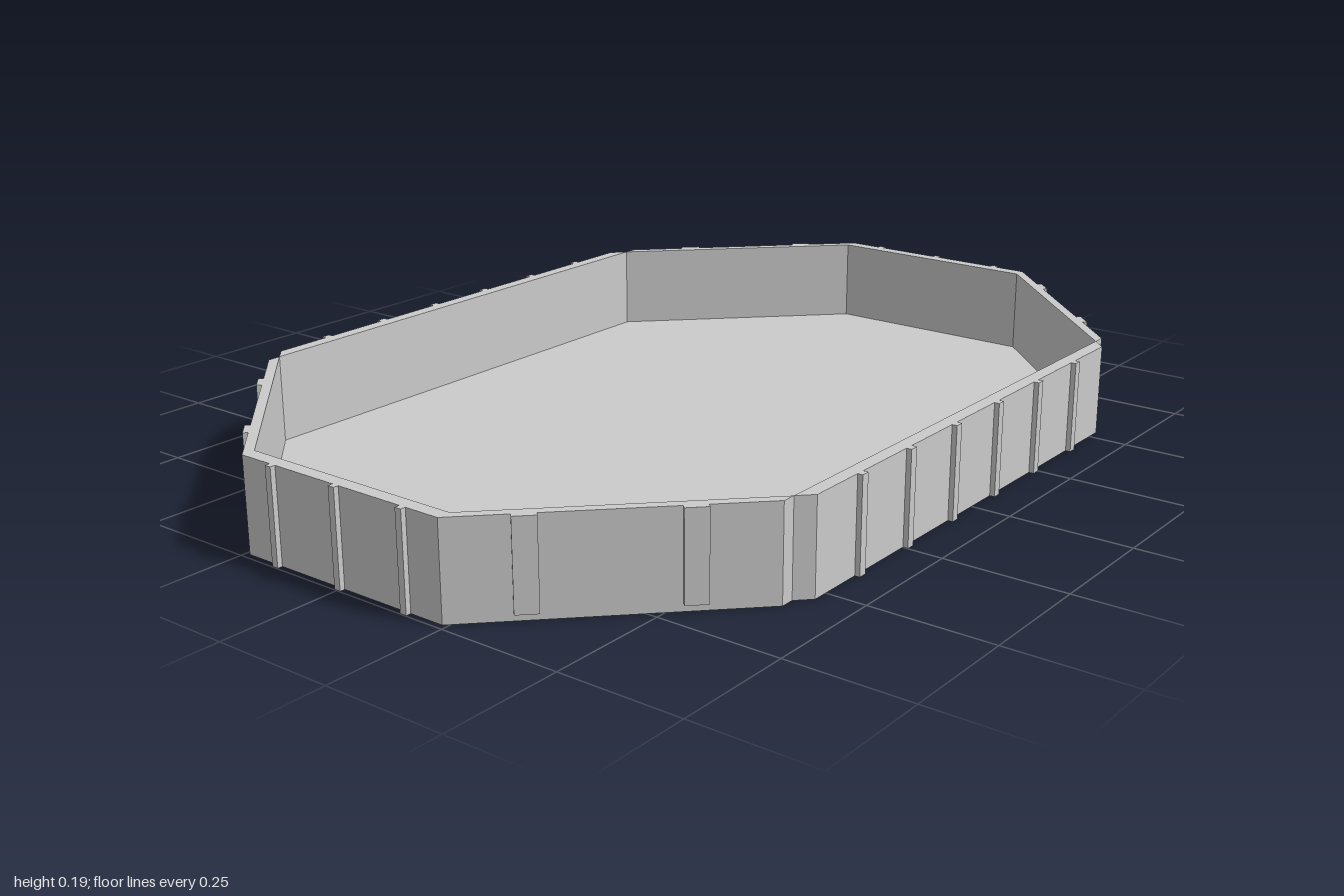
import * as THREE from 'three';

const HEIGHT = 0.19;
const FLOOR = 0.008;

// Repeat quarter-outline points (side to front) around all four quadrants
function mirrored(quarter) {
  const back = [...quarter].reverse();
  return [
    ...quarter,
    ...back.map(([x, y]) => [-x, y]),
    ...quarter.map(([x, y]) => [-x, -y]),
    ...back.map(([x, y]) => [x, -y]),
  ].map(([x, y]) => new THREE.Vector2(x, y));
}

// Extrude a plan outline upwards from y = 0
function extrudeUp(shape, depth) {
  const geo = new THREE.ExtrudeGeometry(shape, { depth, bevelEnabled: false });
  return geo.rotateX(-Math.PI / 2);
}

export function createModel() {
  const group = new THREE.Group();
  const material = new THREE.MeshStandardMaterial({ color: 0xcccccc, flatShading: true });
  const add = (name, geometry) => {
    const mesh = new THREE.Mesh(geometry, material);
    mesh.name = name;
    group.add(mesh);
    return mesh;
  };

  const inner = mirrored([[0.96, 0.24], [0.56, 0.64]]);

  // Octagonal wall, with a small step where long and diagonal panels meet
  const wall = new THREE.Shape(mirrored([[0.988, 0.24], [0.588, 0.64], [0.56, 0.64], [0.532, 0.668]]));
  wall.holes.push(new THREE.Path(inner));
  add('wall', extrudeUp(wall, HEIGHT));

  // Thin floor
  add('floor', extrudeUp(new THREE.Shape(inner), FLOOR));

  // Rib centred on the wall face, half of its depth sunk into the wall
  const addRib = (name, x, z, angle, width, bottom) => {
    const h = HEIGHT - bottom;
    const rib = add(name, new THREE.BoxGeometry(width, h, 0.021));
    rib.position.set(x, bottom + h / 2, z);
    rib.rotation.y = angle;
  };

  for (const s of [-1, 1]) {
    // Long sides
    for (let i = 0; i < 6; i++) addRib('longSideRib', -0.4 + i * 0.16, s * 0.668, 0, 0.018, 0);
    // Short ends
    for (const z of [-0.16, 0, 0.16]) addRib('endRib', s * 0.988, z, Math.PI / 2, 0.014, 0);
    // Diagonal panels, with wider ribs that stop short of the ground
    for (const t of [-1, 1]) {
      for (const x of [0.691, 0.89]) {
        addRib('diagonalRib', s * x, t * (1.228 - x), s * t * Math.PI / 4, 0.043, 0.015);
      }
    }
  }

  return group;
}
